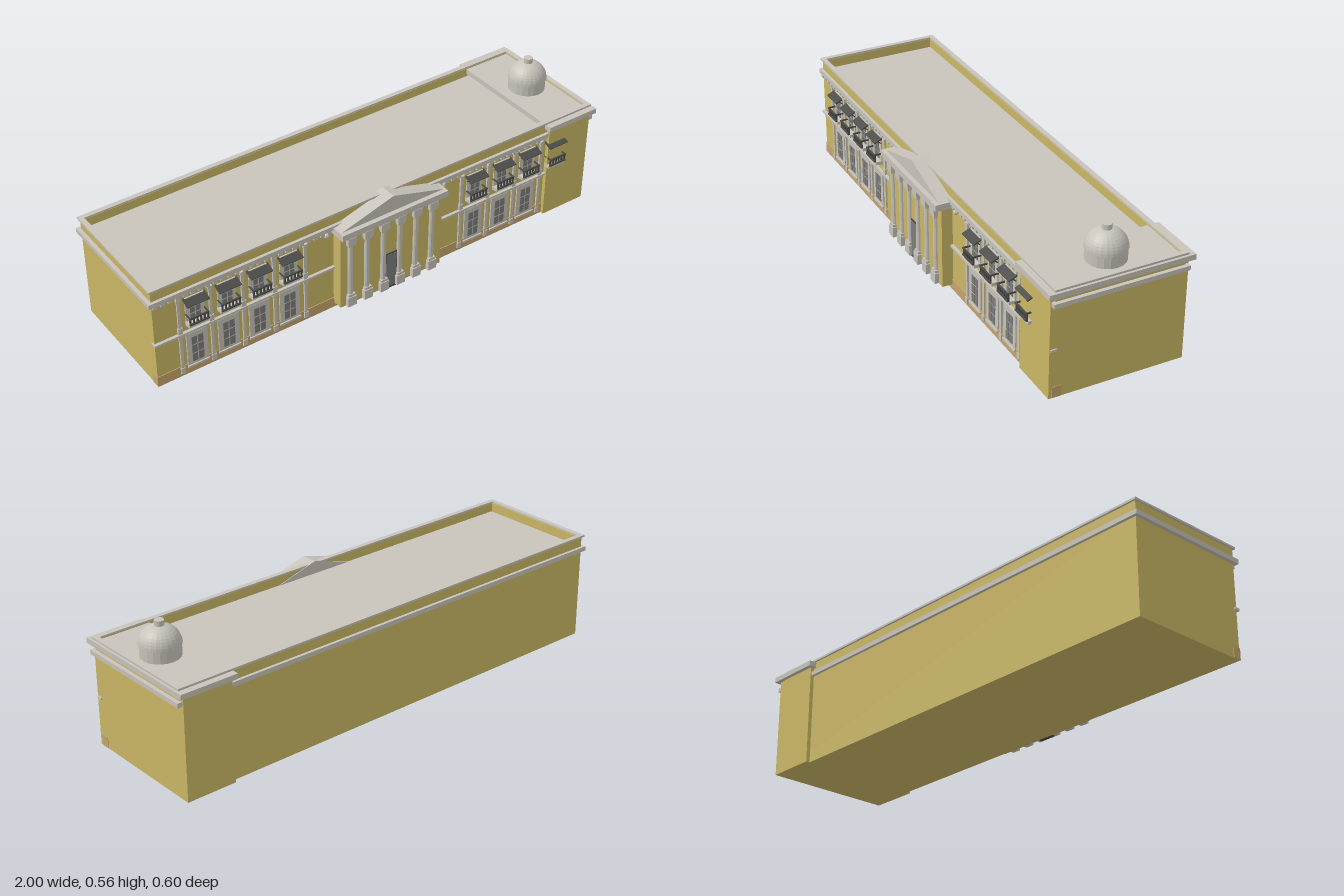
import * as THREE from 'three';

const mat = (name, color) => {
  const m = new THREE.MeshStandardMaterial({ color, flatShading: true });
  m.name = name;
  return m;
};

export function createModel() {
  const yellow = mat('yellowWall', 0xcbb765);
  const stone = mat('paleStone', 0xc8c4bb);
  const plinthTan = mat('plinthTan', 0xc6a56c);
  const glass = mat('greyGlass', 0x7c7c7a);
  const iron = mat('darkIron', 0x4c4c4a);

  const model = new THREE.Group();
  model.name = 'palace';
  const group = (name, parent = model) => {
    const g = new THREE.Group();
    g.name = name;
    parent.add(g);
    return g;
  };
  const add = (parent, name, geo, material, x = 0, y = 0, z = 0) => {
    const mesh = new THREE.Mesh(geo, material);
    mesh.name = name;
    mesh.position.set(x, y, z);
    parent.add(mesh);
    return mesh;
  };
  // Box given by its limits on each axis
  const box = (parent, name, material, x0, x1, y0, y1, z0, z1) =>
    add(parent, name, new THREE.BoxGeometry(x1 - x0, y1 - y0, z1 - z0), material,
      (x0 + x1) / 2, (y0 + y1) / 2, (z0 + z1) / 2);
  // Hollow rectangular ring lying flat
  const ring = (parent, name, material, x0, x1, z0, z1, y0, y1, t) => {
    box(parent, name, material, x0, x1, y0, y1, z1 - t, z1);
    box(parent, name, material, x0, x1, y0, y1, z0, z0 + t);
    box(parent, name, material, x0, x0 + t, y0, y1, z0 + t, z1 - t);
    box(parent, name, material, x1 - t, x1, y0, y1, z0 + t, z1 - t);
  };

  const FRONT = 0.231, BACK = -0.269;

  // Main block, cornice and parapet around the sunken roof
  const main = group('mainBlock');
  box(main, 'mainWalls', yellow, -0.985, 0.975, 0, 0.39, BACK, FRONT);
  box(main, 'roof', stone, -0.97, 0.97, 0.389, 0.395, -0.256, 0.218);
  box(main, 'plinth', plinthTan, -0.987, 0.982, 0.001, 0.045, 0.2, 0.234);
  ring(main, 'cornice', stone, -1, 1, -0.281, 0.243, 0.37, 0.388, 0.03);
  ring(main, 'parapet', yellow, -0.985, 0.985, BACK, FRONT, 0.388, 0.431, 0.013);
  ring(main, 'parapetCap', stone, -0.993, 0.993, -0.277, 0.238, 0.43, 0.438, 0.02);
  for (const [x0, x1] of [[-0.99, -0.235], [0.235, 0.985]]) {
    box(main, 'floorBand', stone, x0, x1, 0.19, 0.199, 0.22, 0.243);
    for (let x = x0 + 0.015; x < Math.min(x1, 0.78); x += 0.03)
      box(main, 'dentil', stone, x - 0.008, x + 0.008, 0.357, 0.371, 0.225, 0.241);
  }
  for (const s of [-1, 1])
    add(main, 'roundOrnament', new THREE.SphereGeometry(0.011, 8, 6), stone, s * 0.265, 0.35, 0.234);

  // Pilasters in two storeys, with small feet and heads
  const pilasters = group('pilasters');
  for (const x of [-0.885, -0.757, -0.625, -0.493, -0.36, 0.355, 0.486, 0.617, 0.75]) {
    for (const [y0, y1] of [[0.015, 0.19], [0.199, 0.357]]) {
      box(pilasters, 'pilasterShaft', stone, x - 0.006, x + 0.006, y0, y1, 0.22, 0.238);
      box(pilasters, 'pilasterFoot', stone, x - 0.009, x + 0.009, y0, y0 + 0.025, 0.22, 0.24);
      box(pilasters, 'pilasterHead', stone, x - 0.009, x + 0.009, y1 - 0.014, y1, 0.22, 0.24);
    }
  }

  // Window with a raised frame, two by n panes
  const windowUnit = (parent, cx, y0, y1, hw, rows) => {
    box(parent, 'windowFrame', stone, cx - hw, cx + hw, y0, y1, 0.225, 0.236);
    const paneW = hw * 0.5, top = y1 - 0.018, bottom = y0 + 0.018;
    const h = (top - bottom) / rows;
    for (const s of [-1, 1])
      for (let r = 0; r < rows; r++) {
        const x = cx + s * (paneW / 2 + 0.002);
        box(parent, 'pane', glass, x - paneW / 2, x + paneW / 2,
          bottom + r * h + 0.002, bottom + (r + 1) * h - 0.002, 0.232, 0.238);
      }
    box(parent, 'windowSill', stone, cx - hw - 0.002, cx + hw + 0.002, y0, y0 + 0.008, 0.225, 0.241);
  };

  const bays = group('windowBays');
  for (const x of [-0.82, -0.69, -0.56, -0.43, 0.42, 0.552, 0.682, 0.815]) {
    const bay = group('windowBay', bays);
    if (x < 0.78) {
      windowUnit(bay, x, 0.03, 0.182, 0.043, 3);
      windowUnit(bay, x, 0.225, 0.345, 0.038, 3);
    }
    // Balcony: slab, rails and balusters
    box(bay, 'balconySlab', stone, x - 0.04, x + 0.04, 0.228, 0.241, 0.225, 0.26);
    for (const [y0, y1] of [[0.243, 0.249], [0.27, 0.276]])
      box(bay, 'balconyRail', iron, x - 0.039, x + 0.039, y0, y1, 0.262, 0.268);
    for (let i = 0; i < 6; i++) {
      const bx = x - 0.036 + i * 0.0144;
      box(bay, 'baluster', iron, bx - 0.003, bx + 0.003, 0.241, 0.272, 0.259, 0.265);
    }
    for (const s of [-1, 1])
      box(bay, 'balconySideRail', iron, x + s * 0.037 - 0.002, x + s * 0.037 + 0.002,
        0.27, 0.276, 0.23, 0.265);
    // Sloping hood above the window
    const hood = add(bay, 'windowHood', new THREE.BoxGeometry(0.09, 0.005, 0.04), iron, x, 0.335, 0.247);
    hood.rotation.x = -0.42 + 0.84;
    for (const s of [-1, 1]) {
      const strut = add(bay, 'hoodBracket', new THREE.BoxGeometry(0.004, 0.004, 0.028), iron,
        x + s * 0.036, 0.325, 0.243);
      strut.rotation.x = -0.7;
    }
  }

  // Portico: wall, door, six columns, entablature and pediment
  const portico = group('portico');
  box(portico, 'porticoWall', yellow, -0.233, 0.231, 0.023, 0.354, 0.2, 0.275);
  box(portico, 'door', iron, -0.033, 0.026, 0.024, 0.182, 0.27, 0.278);
  box(portico, 'doorPanel', glass, -0.027, 0.02, 0.028, 0.176, 0.274, 0.28);
  box(portico, 'doorStep', iron, -0.037, 0.03, 0.018, 0.026, 0.25, 0.281);
  for (let i = 0; i < 6; i++) {
    const x = -0.19 + i * 0.0745, column = group('column', portico);
    add(column, 'columnShaft', new THREE.CylinderGeometry(0.011, 0.012, 0.28, 12), stone, x, 0.19, 0.275);
    box(column, 'columnPedestal', stone, x - 0.019, x + 0.019, 0.024, 0.066, 0.257, 0.292);
    box(column, 'columnFoot', stone, x - 0.015, x + 0.015, 0.066, 0.077, 0.26, 0.289);
    box(column, 'capitalNeck', stone, x - 0.016, x + 0.016, 0.303, 0.312, 0.26, 0.289);
    box(column, 'capital', stone, x - 0.019, x + 0.019, 0.312, 0.342, 0.257, 0.292);
    box(column, 'capitalTop', stone, x - 0.015, x + 0.015, 0.342, 0.354, 0.26, 0.287);
  }
  box(portico, 'entablature', stone, -0.241, 0.237, 0.353, 0.379, 0.22, 0.302);
  const gable = new THREE.Shape([
    new THREE.Vector2(-0.236, 0), new THREE.Vector2(0.232, 0), new THREE.Vector2(-0.002, 0.068)]);
  add(portico, 'pediment', new THREE.ExtrudeGeometry(gable, { depth: 0.068, bevelEnabled: false }),
    stone, 0, 0.378, 0.215);

  // End wing with its flat slab and dome
  const wing = group('endWing');
  box(wing, 'wingWalls', yellow, 0.776, 0.98, 0, 0.408, -0.285, 0.247);
  box(wing, 'wingCornice', stone, 0.764, 1, 0.407, 0.428, -0.301, 0.262);
  const dome = group('dome', wing);
  dome.position.set(0.88, 0, -0.019);
  add(dome, 'drum', new THREE.CylinderGeometry(0.074, 0.074, 0.05, 20), stone, 0, 0.451, 0);
  add(dome, 'domeShell', new THREE.SphereGeometry(0.077, 24, 10, 0, Math.PI * 2, 0, Math.PI / 2),
    stone, 0, 0.475, 0).scale.y = 0.91;
  add(dome, 'domeUnderside', new THREE.CylinderGeometry(0.077, 0.077, 0.002, 24), stone, 0, 0.475, 0);
  add(dome, 'lantern', new THREE.CylinderGeometry(0.018, 0.018, 0.022, 12), stone, 0, 0.552, 0);

  return model;
}
